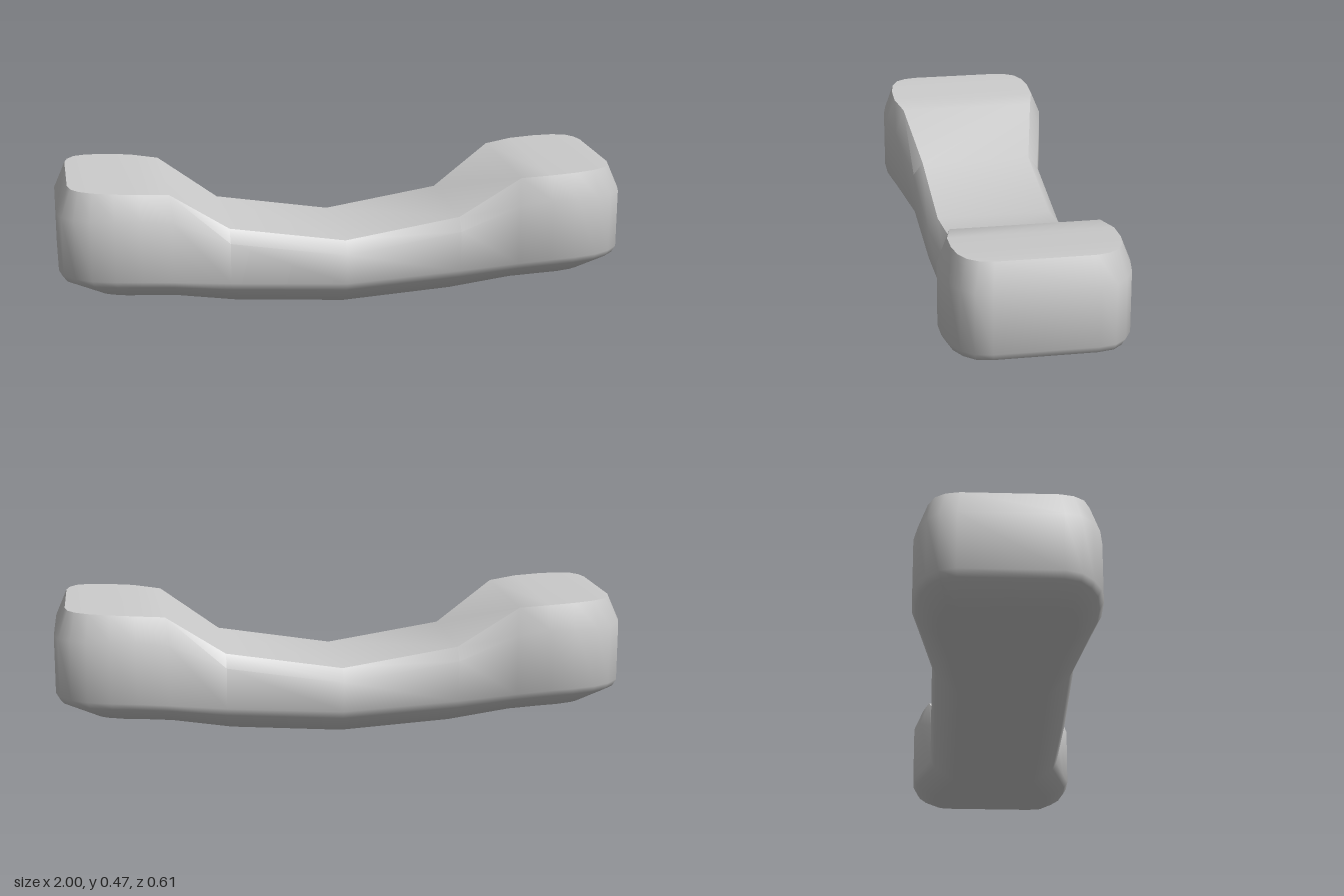
import * as THREE from 'three';
import { toCreasedNormals } from 'three/addons/utils/BufferGeometryUtils.js';

// Stations from the middle of the handle to one end.
// rim: x, half depth, y   wall: x, half depth, upper y, lower y   base: x, half depth, y
const STATIONS = [
  { rim: [0, 0.205, 0.245], wall: [0, 0.24, 0.2, 0.095], base: [0, 0.15, 0.004] },
  { rim: [0.41, 0.205, 0.31], wall: [0.41, 0.24, 0.265, 0.12], base: [0.39, 0.15, 0.03] },
  { rim: [0.62, 0.25, 0.455], wall: [0.61, 0.283, 0.362, 0.15], base: [0.6, 0.19, 0.073] },
  { rim: [0.72, 0.273, 0.466], wall: [0.72, 0.307, 0.384, 0.165], base: [0.7, 0.215, 0.087] },
  { rim: [0.81, 0.273, 0.472], wall: [0.81, 0.307, 0.385, 0.17], base: [0.77, 0.22, 0.092] },
  { rim: [0.88, 0.262, 0.476], wall: [0.89, 0.293, 0.385, 0.173], base: [0.82, 0.215, 0.096] },
  { rim: [0.925, 0.24, 0.478], wall: [0.945, 0.265, 0.385, 0.175], base: [0.845, 0.205, 0.098] },
  { rim: [0.95, 0.205, 0.478], wall: [0.985, 0.225, 0.385, 0.178], base: [0.857, 0.195, 0.1] },
  { rim: [0.96, 0.16, 0.478], wall: [1, 0.17, 0.385, 0.18], base: [0.862, 0.15, 0.1] },
];

// Closed cross-section: front side from rim to base, then back side from base to rim
function section({ rim, wall, base }, side) {
  const lerp = THREE.MathUtils.lerp;
  const t = 0.16; // rounding of the lower edge
  const half = [
    rim,
    [wall[0], wall[1], wall[2]],
    [wall[0], wall[1], wall[3]],
    [lerp(wall[0], base[0], t * 0.6), lerp(wall[1], base[1], t), lerp(wall[3], base[2], 0.3)],
    base,
  ].map(([x, z, y]) => [x * side, y, z]);
  const back = half.map(([x, y, z]) => [x, y, -z]).reverse();
  return [...half, ...back];
}

function handsetGeometry() {
  const columns = [
    ...STATIONS.slice(1).reverse().map((s) => section(s, -1)),
    ...STATIONS.map((s) => section(s, 1)),
  ];
  const n = columns[0].length;
  const last = columns.length - 1;
  const index = [];
  const quad = (a, b, c, d) => index.push(a, b, c, a, c, d);

  // Skin between neighbouring sections
  for (let i = 0; i < last; i++) {
    for (let j = 0; j < n; j++) {
      const k = (j + 1) % n;
      quad(i * n + j, i * n + k, (i + 1) * n + k, (i + 1) * n + j);
    }
  }
  // End walls
  for (let j = 0; j < n / 2 - 1; j++) {
    const r = last * n;
    quad(r + j, r + j + 1, r + n - 2 - j, r + n - 1 - j);
    quad(n - 1 - j, n - 2 - j, j + 1, j);
  }

  const geometry = new THREE.BufferGeometry();
  geometry.setAttribute('position', new THREE.Float32BufferAttribute(columns.flat(2), 3));
  geometry.setIndex(index);
  return toCreasedNormals(geometry, 0.76);
}

export function createModel() {
  const model = new THREE.Group();
  model.name = 'telephoneHandset';
  const body = new THREE.Mesh(
    handsetGeometry(),
    new THREE.MeshStandardMaterial({ color: 0xcccccc })
  );
  body.name = 'handsetBody';
  model.add(body);
  return model;
}
